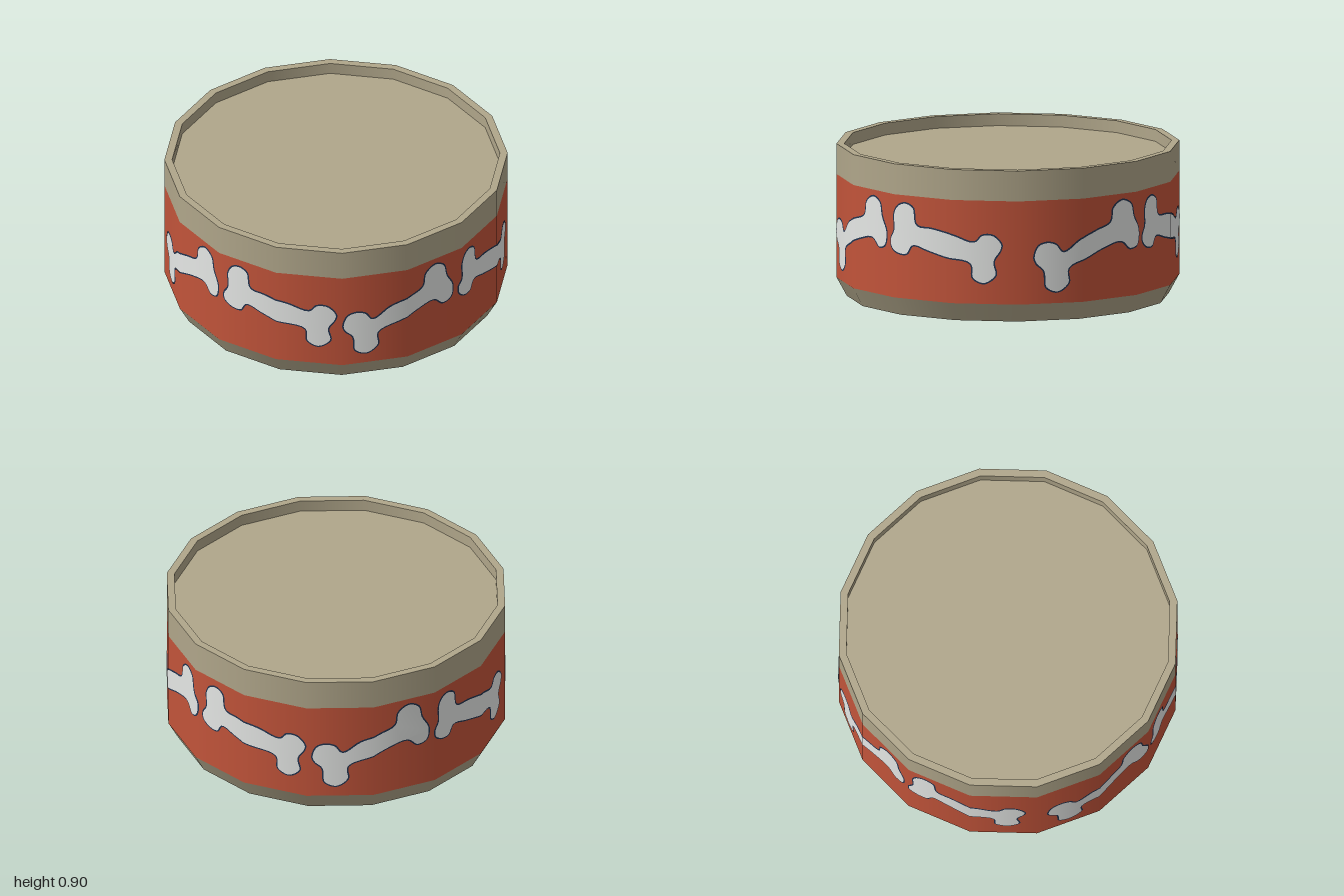
import * as THREE from 'three';

const SIDES = 16;
const mat = (name, color, side = THREE.FrontSide) => {
  const m = new THREE.MeshStandardMaterial({ color, side });
  m.name = name;
  return m;
};

// Bone outlines: [facets around from the front, height], clockwise
const RISING = [
  [-2.0, .385], [-1.93, .455], [-1.78, .476], [-1.63, .46], [-1.53, .417], [-1.27, .487],
  [-.98, .53], [-.73, .567], [-.68, .647], [-.5, .69], [-.32, .658], [-.265, .578],
  [-.155, .492], [-.195, .406], [-.36, .385], [-.52, .433], [-.81, .412], [-1.105, .369],
  [-1.435, .31], [-1.435, .225], [-1.62, .171], [-1.815, .203], [-1.85, .3], [-1.96, .342],
];
const FALLING = [
  [-.08, .46], [-.01, .51], [-.01, .61], [.07, .663], [.21, .68], [.35, .652], [.405, .556],
  [.655, .545], [1.005, .52], [1.335, .48], [1.45, .52], [1.63, .52], [1.765, .465],
  [1.75, .425], [1.65, .36], [1.68, .28], [1.485, .225], [1.3, .26], [1.27, .342],
  [.865, .374], [.585, .4], [.335, .422], [.235, .37], [.07, .37], [-.07, .41],
];
const FACET = 0.39; // width of one facet

// Smooth closed outline, counter-clockwise, pulled inwards by inset
function outline(points, inset) {
  const curve = new THREE.CatmullRomCurve3(
    points.map(([u, y]) => new THREE.Vector3(u * FACET, y, 0)).reverse(), true);
  const pts = curve.getPoints(120).slice(0, -1);
  return pts.map((p, i) => {
    const a = pts[(i + pts.length - 1) % pts.length], b = pts[(i + 1) % pts.length];
    const dx = b.x - a.x, dy = b.y - a.y, l = Math.hypot(dx, dy) || 1;
    return new THREE.Vector2((p.x - dy / l * inset) / FACET, p.y + dx / l * inset);
  });
}

// Keep the part of a polygon where sign * (x - limit) >= 0
function clip(poly, limit, sign) {
  const out = [];
  poly.forEach((p, i) => {
    const q = poly[(i + 1) % poly.length];
    const a = sign * (p.x - limit), b = sign * (q.x - limit);
    if (a >= 0) out.push(p);
    if ((a > 0 && b < 0) || (a < 0 && b > 0)) out.push(p.clone().lerp(q, a / (a - b)));
  });
  return out;
}

// Lay a flat outline on the faceted wall, one piece per facet
function wrap(poly, shift, radius) {
  const moved = poly.map(p => new THREE.Vector2(p.x + shift, p.y));
  const xs = moved.map(p => p.x);
  const pos = [], nor = [], index = [];
  for (let f = Math.floor(Math.min(...xs)); f < Math.max(...xs); f++) {
    const piece = clip(clip(moved, f, 1), f + 1, -1);
    if (piece.length < 3) continue;
    const base = pos.length / 3;
    const a = f * 2 * Math.PI / SIDES, b = (f + 1) * 2 * Math.PI / SIDES;
    for (const p of piece) {
      const t = p.x - f;
      const x = Math.sin(a) * (1 - t) + Math.sin(b) * t;
      const z = Math.cos(a) * (1 - t) + Math.cos(b) * t;
      const l = Math.hypot(x, z);
      pos.push(x * radius, p.y, z * radius);
      nor.push(x / l, 0, z / l);
    }
    for (const tri of THREE.ShapeUtils.triangulateShape(piece, []))
      index.push(...tri.map(i => i + base));
  }
  const g = new THREE.BufferGeometry();
  g.setAttribute('position', new THREE.Float32BufferAttribute(pos, 3));
  g.setAttribute('normal', new THREE.Float32BufferAttribute(nor, 3));
  g.setIndex(index);
  return g;
}

export function createModel() {
  const group = new THREE.Group();
  const tan = mat('tan', 0xb0a68a);
  const red = mat('red', 0xc2543a);
  const white = mat('white', 0xe8eae8, THREE.DoubleSide);
  const navy = mat('navy', 0x223450, THREE.DoubleSide);

  const add = (name, geometry, material, y = 0) => {
    const m = new THREE.Mesh(geometry, material);
    m.name = name;
    m.position.y = y;
    group.add(m);
  };
  const wall = (r0, y0, r1, y1) =>
    new THREE.LatheGeometry([new THREE.Vector2(r0, y0), new THREE.Vector2(r1, y1)], SIDES);

  // Bowl
  add('underside', new THREE.CircleGeometry(.94, SIDES).rotateX(Math.PI / 2), tan);
  add('footBevel', wall(.94, 0, 1, .11), tan);
  add('redBand', wall(1, .11, 1, .72), red);
  add('upperBand', wall(1, .72, 1, .9), tan);
  add('rim', new THREE.RingGeometry(.955, 1, SIDES).rotateX(-Math.PI / 2), tan, .9);
  add('innerWall', wall(.955, .9, .955, .83), tan);
  add('bowlFloor', new THREE.CircleGeometry(.955, SIDES).rotateX(-Math.PI / 2), tan, .83);

  // Painted bones, in four pairs around the band
  for (const shift of [0, 4.23, 8.07, 12.16]) {
    for (const shape of [RISING, FALLING]) {
      add('boneOutline', wrap(outline(shape, 0), shift, 1.002), navy);
      add('bone', wrap(outline(shape, .009), shift, 1.004), white);
    }
  }
  return group;
}
